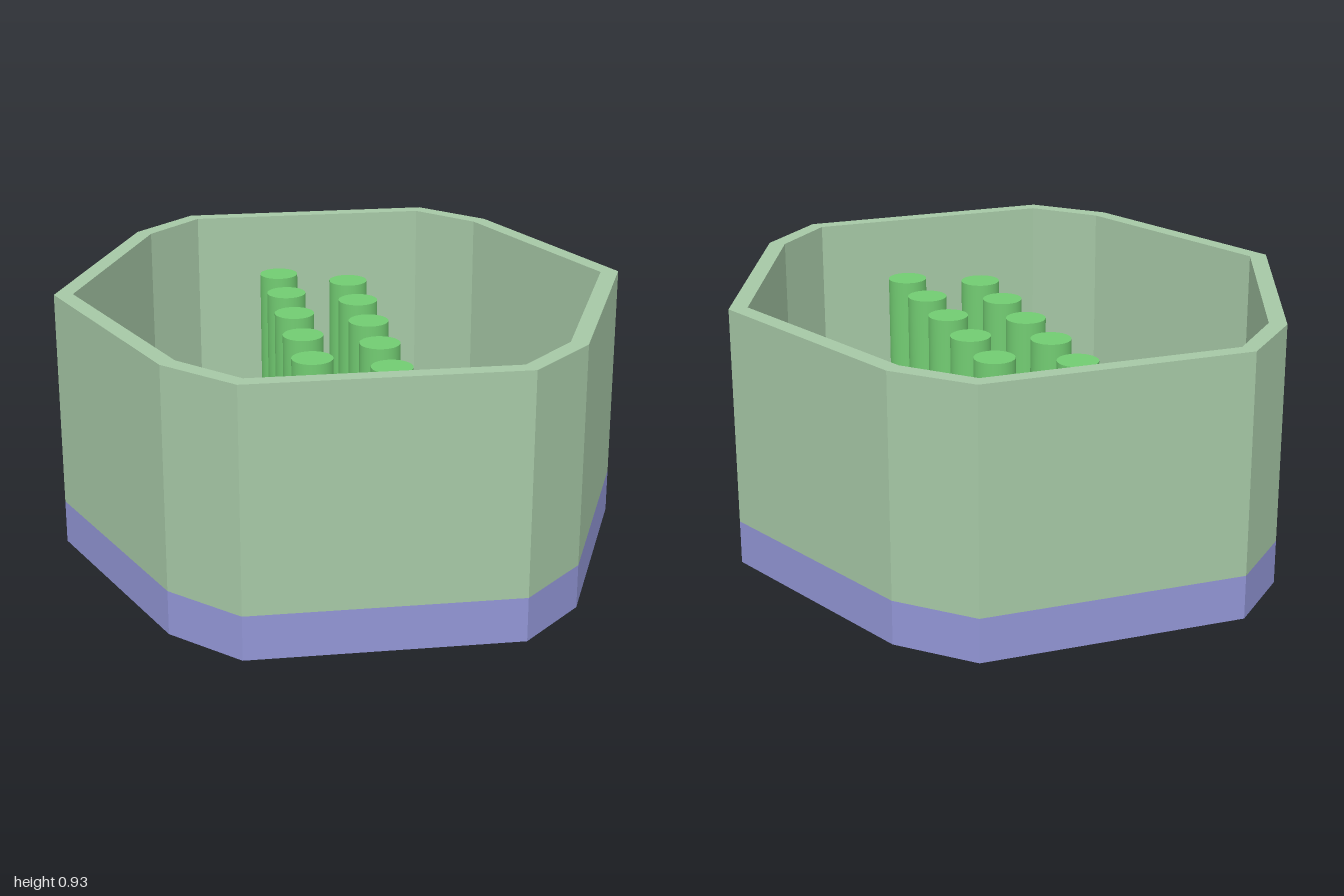
import * as THREE from 'three';

const FLOOR = 0.155, TOP = 0.927, PIN_TOP = 0.72;

const material = (color) => new THREE.MeshStandardMaterial({ color });

// Eight-sided outline mirrored from one quarter: side tip, shoulder, end corner
function outline([tip, shoulder, corner]) {
  const quarter = [shoulder, corner];
  return [
    [tip, 0],
    ...quarter,
    ...quarter.map(([x, z]) => [-x, z]).reverse(),
    [-tip, 0],
    ...quarter.map(([x, z]) => [-x, -z]),
    ...quarter.map(([x, z]) => [x, -z]).reverse(),
  ].map(([x, z]) => new THREE.Vector2(x, z));
}

// Extrudes a plan shape upwards from y0 to y1
function slab(name, shape, y0, y1, mat) {
  const geometry = new THREE.ExtrudeGeometry(shape, { depth: y1 - y0, bevelEnabled: false });
  geometry.rotateX(-Math.PI / 2).translate(0, y0, 0);
  const mesh = new THREE.Mesh(geometry, mat);
  mesh.name = name;
  return mesh;
}

export function createModel() {
  const model = new THREE.Group();
  model.name = 'connectorHousing';

  const outer = outline([1, [0.68, 0.78], [0.46, 0.995]]);
  const inner = outline([0.935, [0.63, 0.745], [0.437, 0.94]]);

  // Solid base plate
  model.add(slab('basePlate', new THREE.Shape(outer), 0, FLOOR, material(0x9296d6)));

  // Open shroud standing on the base
  const wall = new THREE.Shape(outer);
  wall.holes.push(new THREE.Path(inner));
  model.add(slab('shroud', wall, FLOOR, TOP, material(0xa6c8a6)));

  // Two staggered rows of seven contact pins
  const pinHeight = PIN_TOP - FLOOR;
  const pinGeometry = new THREE.CylinderGeometry(0.073, 0.073, pinHeight, 32);
  const pinMaterial = material(0x72cc72);
  const pins = new THREE.Group();
  pins.name = 'contactPins';
  for (const [x, firstZ] of [[-0.13, -0.837], [0.127, -0.709]]) {
    for (let i = 0; i < 7; i++) {
      const pin = new THREE.Mesh(pinGeometry, pinMaterial);
      pin.name = 'pin';
      pin.position.set(x, FLOOR + pinHeight / 2, firstZ + i * 0.257);
      pins.add(pin);
    }
  }
  model.add(pins);

  // Fine marking ring on the floor at each side
  const ringGeometry = new THREE.TorusGeometry(0.145, 0.004, 6, 48).rotateX(Math.PI / 2);
  const ringMaterial = material(0x803838);
  for (const side of [-1, 1]) {
    const ring = new THREE.Mesh(ringGeometry, ringMaterial);
    ring.name = side > 0 ? 'leftFloorRing' : 'rightFloorRing';
    ring.position.set(side * 0.692, FLOOR, 0);
    model.add(ring);
  }

  return model;
}
